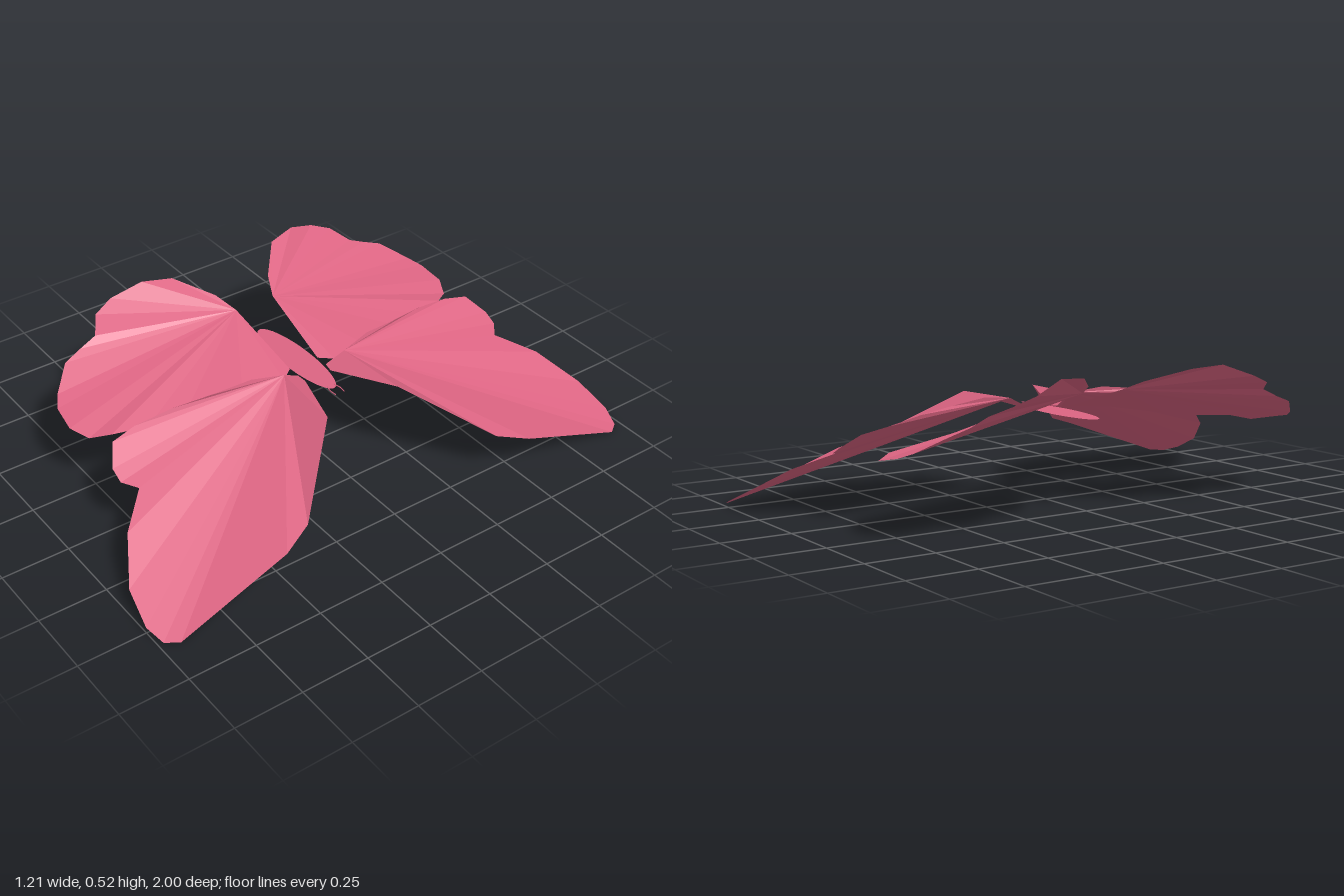
import * as THREE from 'three';

const rose = new THREE.MeshStandardMaterial({ color: 0xdc6482, side: THREE.DoubleSide, flatShading: true });
rose.name = 'rose';

// Wing outlines on the +z side as [x, y, z]; the first point is where the folds meet
const foreOutline = [
  [0.03, 0.375, 0.13], [0.015, 0.335, 0.06], [0.05, 0.33, 0.055], [0.31, 0.37, 0.15],
  [0.55, 0.19, 0.405], [0.595, 0.155, 0.52], [0.602, 0.005, 0.935], [0.57, 0.003, 0.98],
  [0.5, 0.025, 1.0], [0.37, 0.08, 0.98], [0.22, 0.17, 0.89], [0.11, 0.23, 0.775],
  [0.06, 0.24, 0.815], [0.01, 0.265, 0.815], [-0.06, 0.315, 0.77], [-0.07, 0.335, 0.675],
  [-0.05, 0.36, 0.535], [-0.02, 0.375, 0.4], [0.004, 0.39, 0.25],
];
const hindOutline = [
  [-0.34, 0.43, 0.08], [-0.035, 0.335, 0.06], [0, 0.33, 0.11], [-0.04, 0.32, 0.26],
  [-0.085, 0.285, 0.47], [-0.115, 0.27, 0.6], [-0.155, 0.265, 0.72], [-0.2, 0.25, 0.785],
  [-0.27, 0.265, 0.82], [-0.37, 0.285, 0.81], [-0.42, 0.305, 0.78], [-0.5, 0.36, 0.7],
  [-0.513, 0.385, 0.63], [-0.515, 0.415, 0.565], [-0.585, 0.45, 0.52], [-0.605, 0.48, 0.445],
  [-0.575, 0.523, 0.33], [-0.545, 0.513, 0.22], [-0.42, 0.465, 0.115],
];

// Folded sheet: a fan of flat facets, wound so that the faces look up
function wing(name, outline, side) {
  const positions = outline.flatMap(([x, y, z]) => [x, y, z * side]);
  const index = [];
  for (let i = 1; i < outline.length - 1; i++) {
    index.push(0, ...(side > 0 ? [i + 1, i] : [i, i + 1]));
  }
  const geometry = new THREE.BufferGeometry();
  geometry.setAttribute('position', new THREE.Float32BufferAttribute(positions, 3));
  geometry.setIndex(index);
  geometry.computeVertexNormals();
  const mesh = new THREE.Mesh(geometry, rose);
  mesh.name = name;
  return mesh;
}

export function createModel() {
  const model = new THREE.Group();
  model.name = 'butterfly';

  // Flat oval body
  const body = new THREE.Mesh(new THREE.CircleGeometry(1, 32).rotateX(-Math.PI / 2), rose);
  body.scale.set(0.228, 1, 0.057);
  body.position.set(-0.083, 0.331, 0);
  body.name = 'body';
  model.add(body);

  for (const side of [1, -1]) {
    const label = side > 0 ? 'front' : 'back';
    model.add(wing(label + 'Forewing', foreOutline, side));
    model.add(wing(label + 'Hindwing', hindOutline, side));

    // Short curved feeler
    const path = new THREE.CatmullRomCurve3([
      new THREE.Vector3(0.125, 0.331, 0.014 * side),
      new THREE.Vector3(0.15, 0.331, 0.02 * side),
      new THREE.Vector3(0.18, 0.331, 0.018 * side),
    ]);
    const feeler = new THREE.Mesh(new THREE.TubeGeometry(path, 8, 0.002, 5), rose);
    feeler.name = label + 'Antenna';
    model.add(feeler);
  }
  return model;
}
